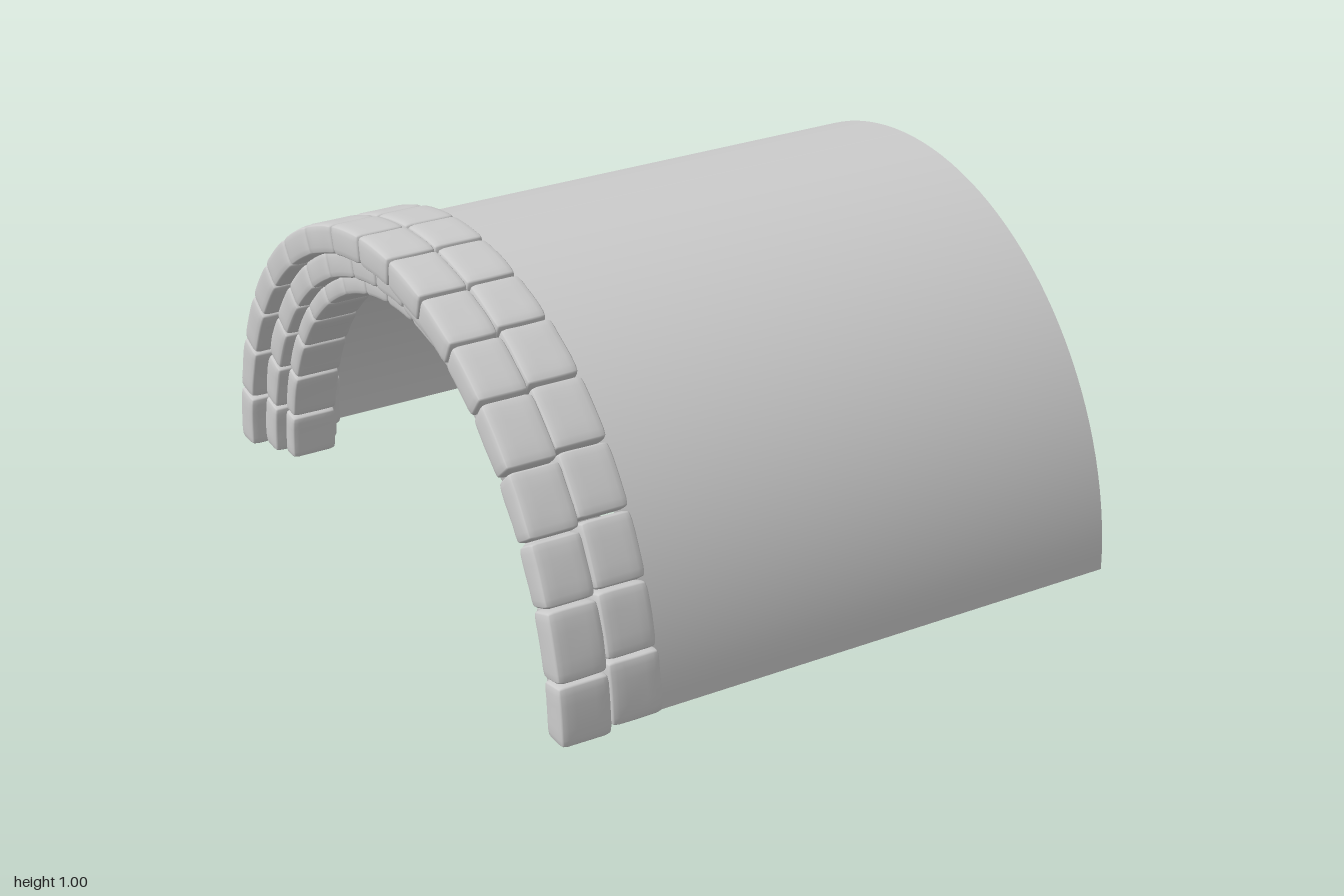
import * as THREE from 'three';
import { mergeVertices } from 'three/addons/utils/BufferGeometryUtils.js';

const material = new THREE.MeshStandardMaterial({ color: 0xcccccc, roughness: 0.9 });
const shellMaterial = new THREE.MeshStandardMaterial({ color: 0xcccccc, side: THREE.DoubleSide });

// Small seeded generator, returns -1..1
let seed = 7;
const jitter = () => {
  seed = (seed * 16807) % 2147483647;
  return (seed / 2147483647) * 2 - 1;
};

// A worn, round-edged block bent around the x axis.
// Angles run from +z over the top to -z.
function stoneGeometry(x0, x1, r0, r1, a0, a1) {
  const rm = (r0 + r1) / 2;
  const half = new THREE.Vector3((x1 - x0) / 2, (r1 - r0) / 2, ((a1 - a0) * rm) / 2);
  const bevel = 0.018;
  const inner = half.clone().subScalar(bevel);
  let geo = new THREE.BoxGeometry(2, 2, 2, 8, 6, 8);
  geo.deleteAttribute('uv');
  geo.deleteAttribute('normal');
  geo = mergeVertices(geo);
  const pos = geo.attributes.position;
  const p = new THREE.Vector3(), core = new THREE.Vector3();
  const k = jitter() * 9;
  for (let i = 0; i < pos.count; i++) {
    // gather the rows near the edges, then round them
    p.fromBufferAttribute(pos, i);
    p.set(...p.toArray().map((t) => Math.sin((t * Math.PI) / 2))).multiply(half);
    core.copy(p).clamp(inner.clone().negate(), inner);
    p.sub(core).setLength(bevel).add(core);
    // shallow chisel wear, inward only
    const wear = 0.012 * (1 + Math.sin(p.x * 38 + k) * Math.sin(p.z * 45 + 2 * k) * Math.cos(p.y * 30 + k));
    p.multiplyScalar(1 - wear);
    const r = rm + p.y, a = (a0 + a1) / 2 - p.z / rm;
    pos.setXYZ(i, (x0 + x1) / 2 + p.x, r * Math.sin(a), r * Math.cos(a));
  }
  geo.computeVertexNormals();
  return geo;
}

// One course of stones from foot to foot
function course(name, { x0, x1, r0, r1, from, to, count = 17 }) {
  const group = new THREE.Group();
  group.name = name;
  const joints = [];
  for (let i = 0; i <= count; i++) {
    const loose = i > 0 && i < count ? jitter() * 0.4 : 0;
    joints.push(THREE.MathUtils.degToRad(from + ((to - from) * i) / count + loose));
  }
  const gap = 0.0008;
  for (let i = 0; i < count; i++) {
    const stone = new THREE.Mesh(
      stoneGeometry(x0, x1 + jitter() * 0.003, r0, r1 + jitter() * 0.001, joints[i] + gap, joints[i + 1] - gap),
      material
    );
    stone.name = name + 'Stone';
    group.add(stone);
  }
  return group;
}

export function createModel() {
  const model = new THREE.Group();
  model.name = 'barrelVault';

  // Thin half-cylinder vault
  const x0 = -0.6, x1 = 0.86;
  const shellGeo = new THREE.CylinderGeometry(0.957, 0.957, x1 - x0, 64, 1, true, 0, Math.PI);
  shellGeo.rotateZ(Math.PI / 2);
  const shell = new THREE.Mesh(shellGeo, shellMaterial);
  shell.name = 'vaultShell';
  shell.position.set((x0 + x1) / 2, 0.01, 0);
  model.add(shell);

  // Stone arch: a double outer course, stepping in towards the opening
  const arch = new THREE.Group();
  arch.name = 'stoneArch';
  arch.add(
    course('outerCourseEnd', { x0: -0.863, x1: -0.714, r0: 0.915, r1: 1.002, from: 0.5, to: 179.5 }),
    course('outerCourseVault', { x0: -0.718, x1: -0.567, r0: 0.915, r1: 1.002, from: 1.5, to: 179.5 }),
    course('middleCourse', { x0: -0.82, x1: -0.61, r0: 0.84, r1: 0.922, from: 0.7, to: 179.5 }),
    course('innerCourse', { x0: -0.787, x1: -0.643, r0: 0.786, r1: 0.85, from: 1.6, to: 179.9 })
  );
  model.add(arch);
  return model;
}
